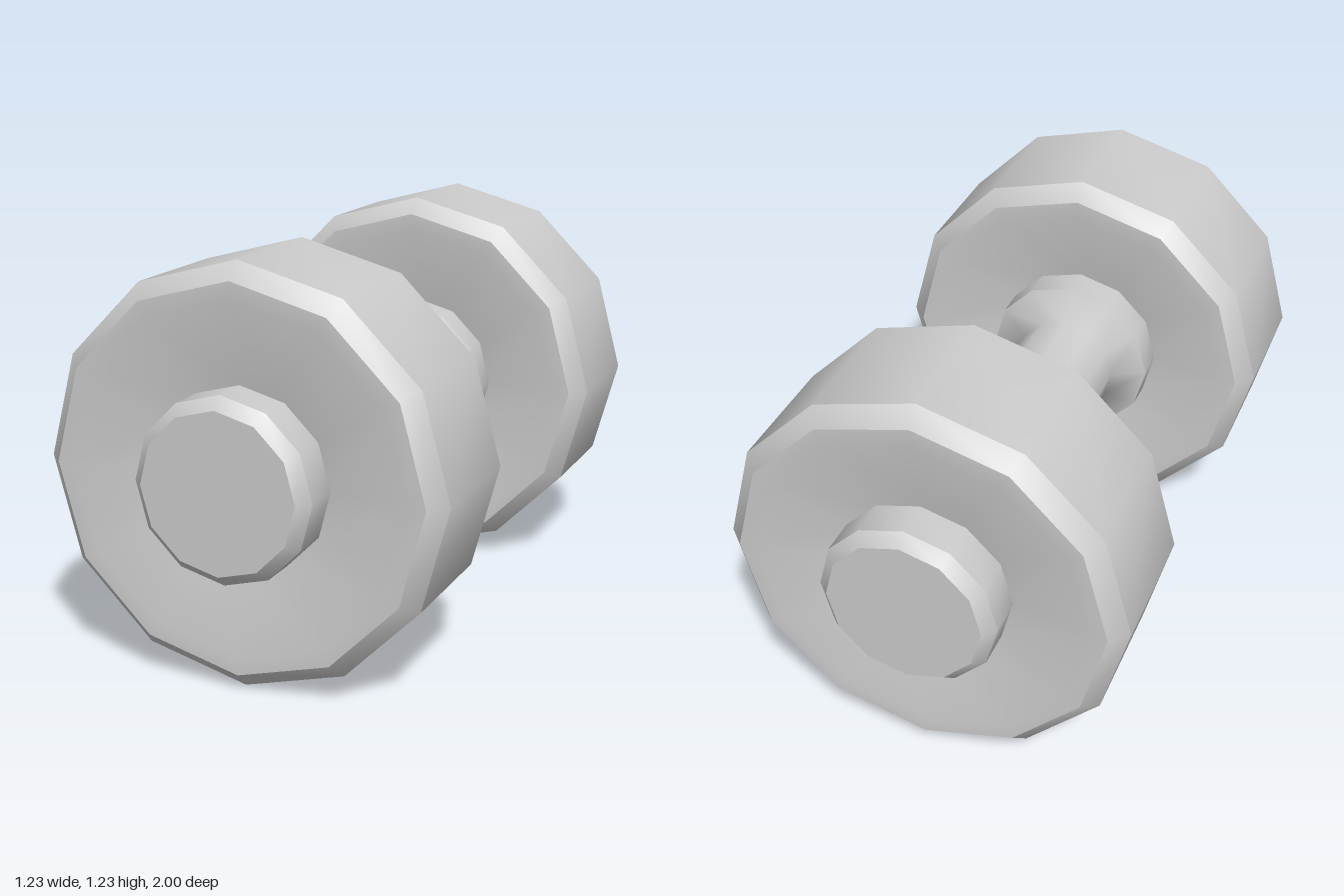
import * as THREE from 'three';
import { toCreasedNormals } from 'three/addons/utils/BufferGeometryUtils.js';

const SIDES = 12;
const AXIS_Y = 0.615;

// Revolves [radius, z] pairs (ascending z) around the z axis.
function revolve(name, profile, material, creased = true) {
  const points = profile.map(([r, z]) => new THREE.Vector2(r, z));
  let geometry = new THREE.LatheGeometry(points, SIDES);
  geometry.rotateX(Math.PI / 2);
  if (creased) geometry = toCreasedNormals(geometry, THREE.MathUtils.degToRad(35));
  const mesh = new THREE.Mesh(geometry, material);
  mesh.name = name;
  return mesh;
}

export function createModel() {
  const model = new THREE.Group();
  model.name = 'dumbbell';
  const material = new THREE.MeshStandardMaterial({ color: 0xcccccc });

  // Grip with flared ends, shaded smoothly
  const handle = revolve('handle', [
    [0.27, -0.35], [0.165, -0.3], [0.165, 0.3], [0.27, 0.35],
  ], material, false);
  handle.position.y = AXIS_Y;
  model.add(handle);

  for (const end of ['front', 'back']) {
    const weight = new THREE.Group();
    weight.name = end + 'Weight';
    weight.position.y = AXIS_Y;
    if (end === 'back') weight.rotation.y = Math.PI;

    // Heavy plate: chamfered rim and shallow dished faces
    weight.add(revolve(end + 'Plate', [
      [0.26, 0.45], [0.515, 0.4], [0.565, 0.4], [0.615, 0.45],
      [0.615, 0.85], [0.565, 0.9], [0.515, 0.9], [0.26, 0.85],
    ], material));

    // Collar between the flare and the plate
    weight.add(revolve(end + 'Collar', [[0.27, 0.35], [0.27, 0.46]], material));

    // Chamfered end cap
    weight.add(revolve(end + 'Cap', [
      [0.27, 0.84], [0.27, 0.965], [0.235, 1], [0, 1],
    ], material));

    model.add(weight);
  }
  return model;
}
